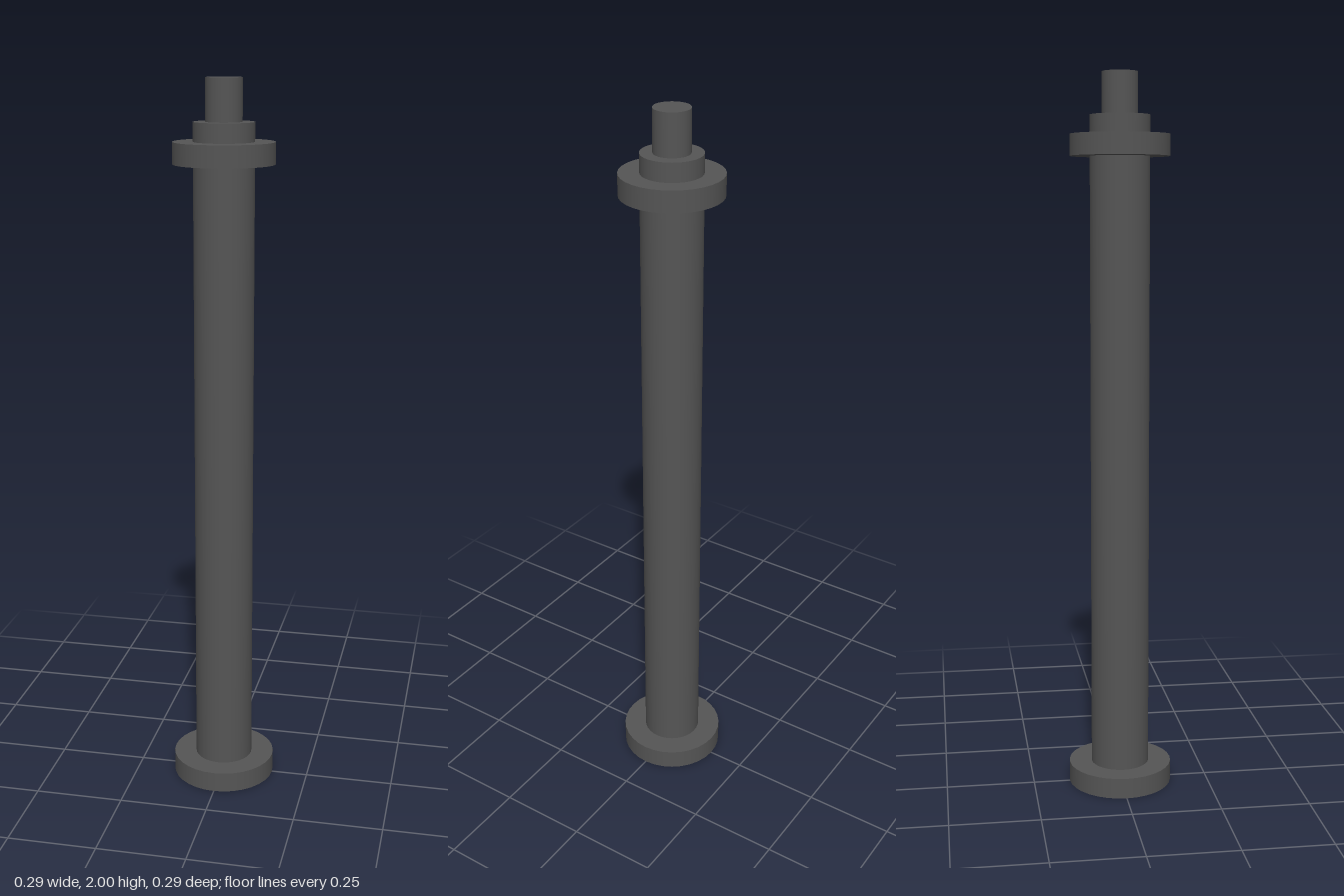
import * as THREE from 'three';

export function createModel() {
  const model = new THREE.Group();
  const material = new THREE.MeshStandardMaterial({ color: 0x555555 });

  // One upright round section between two heights
  function addSection(name, radius, bottom, top) {
    const geometry = new THREE.CylinderGeometry(radius, radius, top - bottom, 32);
    const mesh = new THREE.Mesh(geometry, material);
    mesh.name = name;
    mesh.position.y = (bottom + top) / 2;
    model.add(mesh);
  }

  addSection('baseFlange', 0.146, 0, 0.058);
  addSection('shaft', 0.082, 0.058, 1.887);
  addSection('collar', 0.137, 1.778, 1.836);
  addSection('topPin', 0.049, 1.887, 2);

  return model;
}
